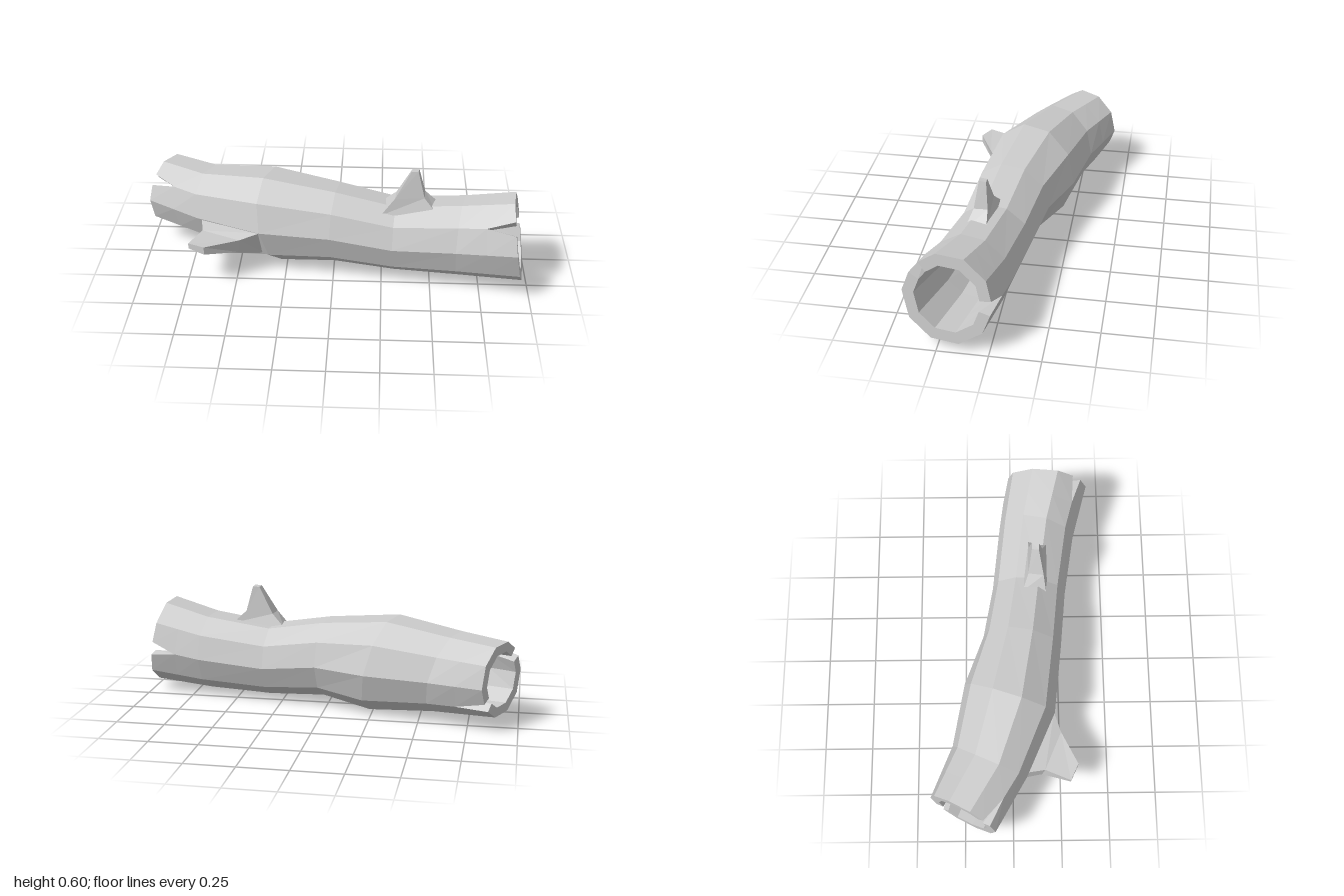
import * as THREE from 'three';

const SIDES = 10, PHASE = 3 * Math.PI / 180, BORE = 0.74;

// Cross-sections of the trunk: centre, front axis (x, z), up axis (x, y)
const RINGS = [
  { c: [-0.91, 0.25, -0.255], f: [-0.09, 0.165], u: [0.0, 0.19] },
  { c: [-0.635, 0.24, -0.12], f: [-0.085, 0.19], u: [-0.045, 0.208] },
  { c: [-0.30, 0.243, -0.015], f: [-0.08, 0.235], u: [-0.05, 0.252] },
  { c: [0.015, 0.243, 0.055], f: [-0.035, 0.205], u: [0.0, 0.21] },
  { c: [0.32, 0.205, 0.095], f: [-0.02, 0.195], u: [0.0, 0.192] },
  { c: [0.66, 0.228, 0.14], f: [-0.04, 0.2], u: [0.0, 0.21] },
  { c: [0.945, 0.265, 0.2], f: [-0.025, 0.22], u: [-0.035, 0.23] },
];

function ringPoints(r, scale) {
  return Array.from({ length: SIDES }, (_, j) => {
    const a = PHASE + j * 2 * Math.PI / SIDES;
    const c = Math.cos(a) * scale, s = Math.sin(a) * scale;
    return new THREE.Vector3(r.c[0] + r.f[0] * c + r.u[0] * s, r.c[1] + r.u[1] * s, r.c[2] + r.f[1] * c);
  });
}

// Collects quads and turns them into a flat-shaded mesh
function quadBuilder() {
  const pos = [];
  return {
    quad(a, b, c, d, flip = false) {
      const order = flip ? [a, d, c, a, c, b] : [a, b, c, a, c, d];
      order.forEach((p) => pos.push(p.x, p.y, p.z));
    },
    mesh(name) {
      const g = new THREE.BufferGeometry();
      g.setAttribute('position', new THREE.Float32BufferAttribute(pos, 3));
      g.computeVertexNormals();
      const m = new THREE.Mesh(g, new THREE.MeshStandardMaterial({ color: 0xcccccc, flatShading: true }));
      m.name = name;
      return m;
    },
  };
}

// Hollow trunk whose two rims are split by V-shaped cracks
function makeTrunk() {
  const { quad, mesh } = quadBuilder();
  const shell = (scale) => {
    const rows = RINGS.map((r) => ringPoints(r, scale));
    const between = (a, b, t) => a.map((p, j) => p.clone().lerp(b[j], t));
    const n = rows.length;
    // extra rows where the cracks begin
    rows.splice(n - 1, 0, between(rows[n - 2], rows[n - 1], 0.5));
    rows.splice(1, 0, between(rows[0], rows[1], 0.5));
    return rows;
  };
  const outer = shell(1), inner = shell(BORE), last = outer.length - 1;
  const cracks = { 0: [1, 6], [last]: [1, 5] };

  // Corner of a panel; corners on a crack are pulled back into the panel
  const corner = (rows, i, j, k) => {
    const p = rows[i][k % SIDES].clone();
    if (cracks[i]?.includes(k % SIDES)) {
      p.lerp(rows[i][(k === j ? k + 1 : k - 1 + SIDES) % SIDES], 0.27);
    }
    return p;
  };

  for (let j = 0; j < SIDES; j++) {
    for (let i = 0; i < last; i++) {
      [outer, inner].forEach((rows) => quad(
        corner(rows, i, j, j), corner(rows, i + 1, j, j),
        corner(rows, i + 1, j, j + 1), corner(rows, i, j, j + 1), rows === inner));
    }
    for (const end of [0, last]) {
      // rim
      quad(corner(outer, end, j, j), corner(outer, end, j, j + 1),
        corner(inner, end, j, j + 1), corner(inner, end, j, j), end === last);
      // crack walls
      const root = end === 0 ? 1 : last - 1;
      for (const k of [j, j + 1]) {
        if (!cracks[end].includes(k % SIDES)) continue;
        quad(outer[root][k % SIDES], corner(outer, end, j, k),
          corner(inner, end, j, k), inner[root][k % SIDES], (k === j) === (end === last));
      }
    }
  }
  return mesh('hollowTrunk');
}

// Broken branch lofted through four-cornered loops and capped at its tip
function makeBranch(name, loops) {
  const { quad, mesh } = quadBuilder();
  const pts = loops.map((l) => l.map((p) => new THREE.Vector3(...p)));
  for (let i = 0; i < pts.length - 1; i++) {
    for (let j = 0; j < 4; j++) {
      const k = (j + 1) % 4;
      quad(pts[i][j], pts[i][k], pts[i + 1][k], pts[i + 1][j]);
    }
  }
  quad(...pts[pts.length - 1]);
  return mesh(name);
}

export function createModel() {
  const group = new THREE.Group();
  group.name = 'hollowLog';
  group.add(makeTrunk());

  group.add(makeBranch('topBranch', [
    [[0.24, 0.36, 0.185], [0.53, 0.375, 0.2], [0.54, 0.39, 0.09], [0.25, 0.38, 0.06]],
    [[0.31, 0.45, 0.17], [0.46, 0.455, 0.165], [0.465, 0.46, 0.095], [0.32, 0.45, 0.09]],
    [[0.39, 0.592, 0.143], [0.425, 0.595, 0.143], [0.43, 0.592, 0.107], [0.395, 0.59, 0.107]],
  ]));

  group.add(makeBranch('frontBranch', [
    [[-0.70, 0.13, 0.03], [-0.37, 0.115, 0.17], [-0.38, 0.255, 0.215], [-0.70, 0.25, 0.05]],
    [[-0.68, 0.14, 0.15], [-0.49, 0.155, 0.24], [-0.48, 0.232, 0.25], [-0.68, 0.235, 0.165]],
    [[-0.735, 0.205, 0.295], [-0.65, 0.195, 0.335], [-0.65, 0.238, 0.335], [-0.735, 0.235, 0.295]],
  ]));
  return group;
}
